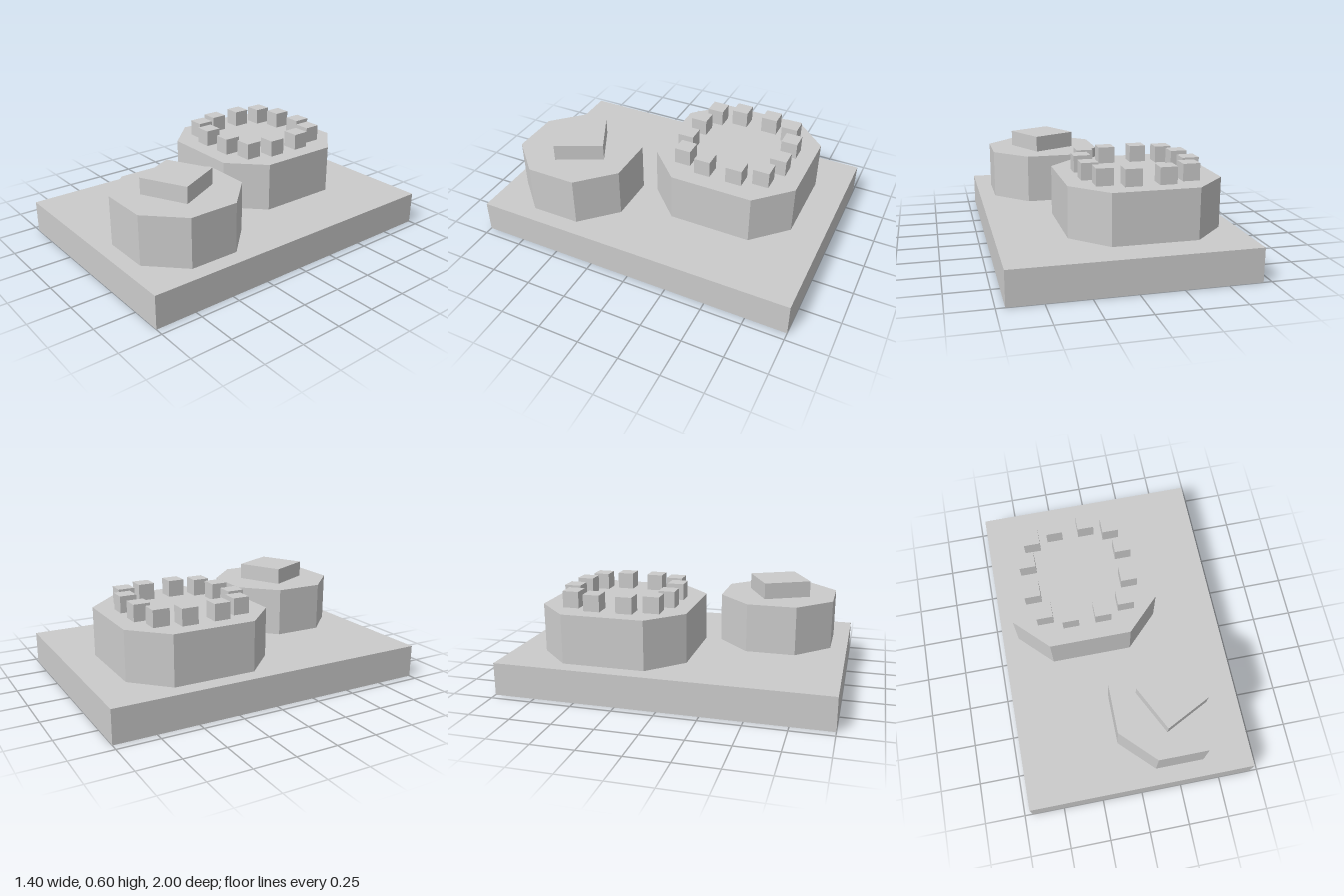
import * as THREE from 'three';

const material = new THREE.MeshStandardMaterial({ color: 0xcccccc, flatShading: true });

function addMesh(parent, name, geometry, x, y, z) {
  const mesh = new THREE.Mesh(geometry, material);
  mesh.name = name;
  mesh.position.set(x, y, z);
  parent.add(mesh);
  return mesh;
}

// Upright prism with a square plan whose corners are cut at 45 degrees
function chamferedPrism(size, cut, height) {
  const h = size / 2, c = h - cut;
  const corners = [[h, -c], [h, c], [c, h], [-c, h], [-h, c], [-h, -c], [-c, -h], [c, -h]];
  const shape = new THREE.Shape(corners.map(([x, y]) => new THREE.Vector2(x, y)));
  return new THREE.ExtrudeGeometry(shape, { depth: height, bevelEnabled: false }).rotateX(-Math.PI / 2);
}

export function createModel() {
  const model = new THREE.Group();
  model.name = 'model';

  // Rectangular base slab
  addMesh(model, 'base', new THREE.BoxGeometry(1.4, 0.2, 2), 0, 0.1, 0);

  // Large eight-sided drum with a ring of studs
  const large = new THREE.Group();
  large.name = 'largeDrum';
  large.position.set(-0.15, 0.2, -0.35);
  model.add(large);
  addMesh(large, 'largeDrumBody', chamferedPrism(0.9, 0.2, 0.3), 0, 0, 0);

  const studGeometry = new THREE.BoxGeometry(0.1, 0.1, 0.1);
  for (const [x, z] of [[0.1, 0.3], [0.25, 0.25], [0.3, 0.1]]) {
    for (const sx of [-1, 1]) {
      for (const sz of [-1, 1]) addMesh(large, 'stud', studGeometry, sx * x, 0.35, sz * z);
    }
  }

  // Small eight-sided drum with a turned square block
  const small = new THREE.Group();
  small.name = 'smallDrum';
  small.position.set(0.25, 0.2, 0.55);
  model.add(small);
  addMesh(small, 'smallDrumBody', chamferedPrism(0.7, 0.2, 0.3), 0, 0, 0);
  const block = addMesh(small, 'turnedBlock', new THREE.BoxGeometry(0.298, 0.1, 0.298), 0, 0.35, 0);
  block.rotation.y = Math.atan2(1, 2);

  return model;
}
